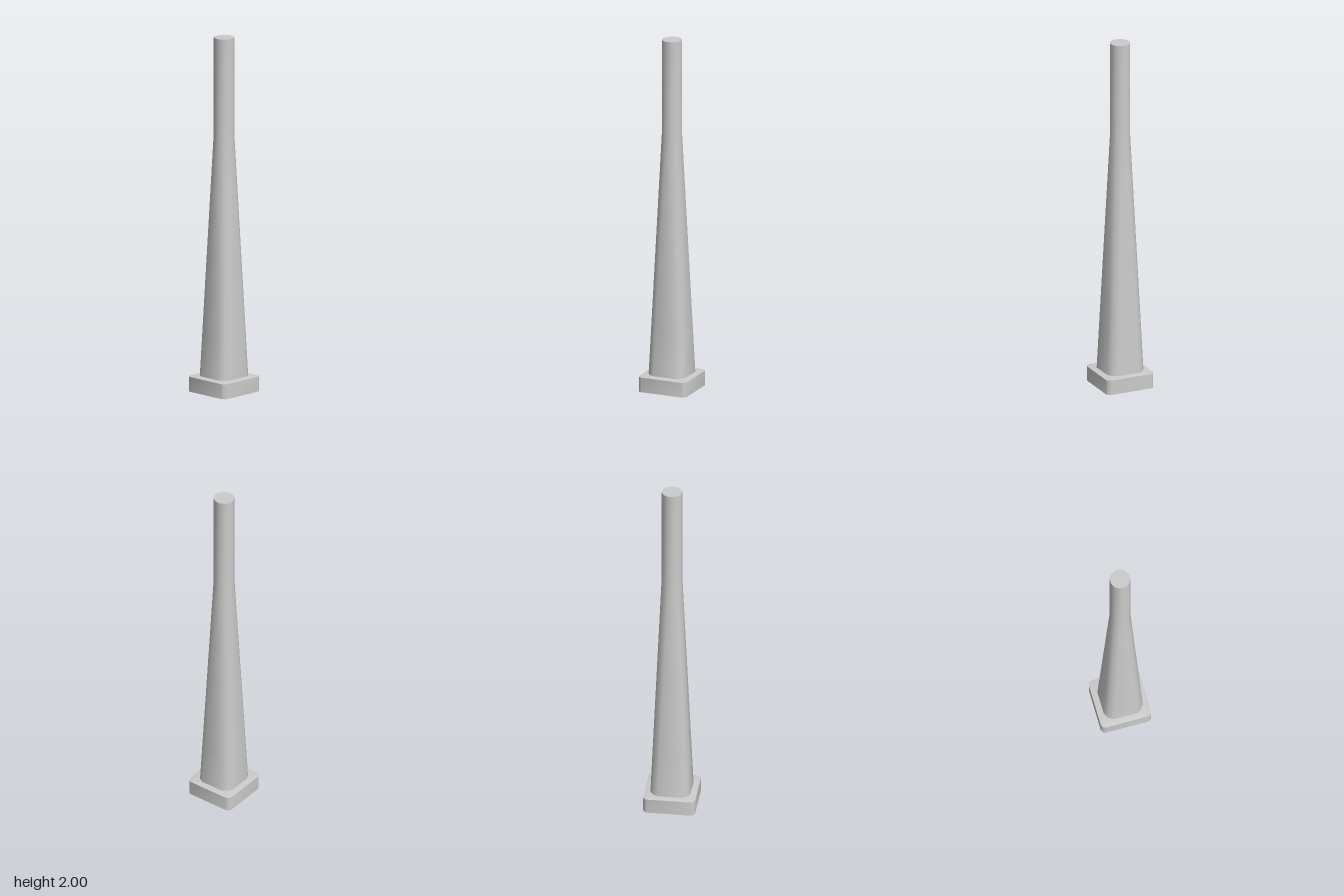
import * as THREE from 'three';
import { toCreasedNormals } from 'three/addons/utils/BufferGeometryUtils.js';

const material = new THREE.MeshStandardMaterial({ color: 0xcccccc });

// Mirrors one corner's [x, z] points (+x to +z) into a closed ring of four corners.
function fourCorners(corner) {
  const ring = [];
  for (let q = 0; q < 4; q++) {
    for (const [x, z, y = 0] of corner) {
      const [rx, rz] = [[x, z], [-z, x], [-x, -z], [z, -x]][q];
      ring.push([rx, rz, y]);
    }
  }
  return ring;
}

// Skins rings stacked upwards and caps both ends.
function loft(levels, crease) {
  const n = levels[0].ring.length;
  const positions = [];
  const index = [];
  for (const { y, ring } of levels) {
    for (const [x, z, lift] of ring) positions.push(x, y + lift, z);
  }
  for (let l = 0; l < levels.length - 1; l++) {
    for (let i = 0; i < n; i++) {
      const a = l * n + i;
      const b = l * n + (i + 1) % n;
      index.push(a, a + n, b, b, a + n, b + n);
    }
  }
  const top = (levels.length - 1) * n;
  for (let i = 1; i < n - 1; i++) {
    index.push(0, i, i + 1, top, top + i + 1, top + i);
  }
  const geometry = new THREE.BufferGeometry();
  geometry.setAttribute('position', new THREE.Float32BufferAttribute(positions, 3));
  geometry.setIndex(index);
  return toCreasedNormals(geometry, crease);
}

function addPart(group, name, geometry) {
  const mesh = new THREE.Mesh(geometry, material);
  mesh.name = name;
  group.add(mesh);
}

export function createModel() {
  const group = new THREE.Group();
  group.name = 'taperedColumn';

  // Square plinth with clipped corners and a gently rising top
  const outline = fourCorners([[0.144, 0.121], [0.139, 0.132], [0.132, 0.139], [0.121, 0.144]]);
  const inner = fourCorners([[0.111, 0.065], [0.103, 0.085], [0.085, 0.103], [0.065, 0.111]]);
  addPart(group, 'plinth', loft([
    { y: 0, ring: outline },
    { y: 0.084, ring: outline },
    { y: 0.09, ring: inner },
  ], 0.6));

  // Shaft: rounded square at the foot blending into a round neck
  const foot = fourCorners([[0.111, 0.066], [0.094, 0.094], [0.066, 0.111]]);
  const neck = fourCorners([15, 45, 75].map((deg) => {
    const angle = THREE.MathUtils.degToRad(deg);
    return [0.057 * Math.cos(angle), 0.057 * Math.sin(angle)];
  }));
  const levels = [];
  const steps = 6;
  for (let s = 0; s <= steps; s++) {
    const t = s / steps;
    const ring = foot.map(([x, z], i) => [
      THREE.MathUtils.lerp(x, neck[i][0], t),
      THREE.MathUtils.lerp(z, neck[i][1], t),
      0,
    ]);
    levels.push({ y: THREE.MathUtils.lerp(0.085, 1.45, t), ring });
  }
  levels.push({ y: 2, ring: neck });
  addPart(group, 'shaft', loft(levels, 0.8));

  return group;
}
